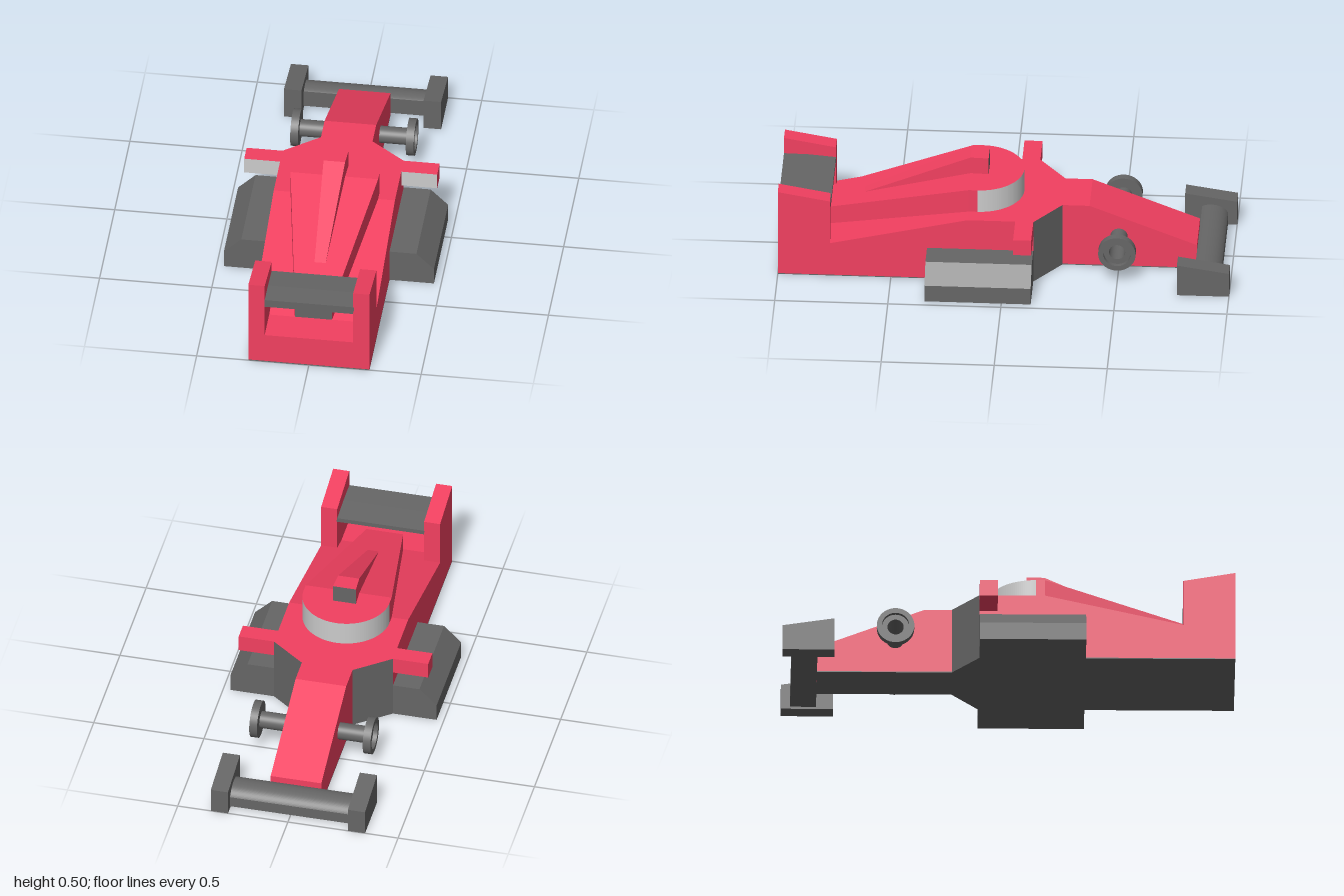
import * as THREE from 'three';

const mat = (color) => new THREE.MeshStandardMaterial({ color, side: THREE.DoubleSide });
const red = mat(0xf24060), dark = mat(0x666666), pale = mat(0xcccccc);

const shapeOf = (pts) => new THREE.Shape(pts.map(([a, b]) => new THREE.Vector2(a, b)));

// Side profile in (z, y), extruded across x from x0 to x1
function sideExtrude(shape, x0, x1) {
  const g = new THREE.ExtrudeGeometry(shape, { depth: x1 - x0, bevelEnabled: false, curveSegments: 24 });
  return g.rotateY(-Math.PI / 2).translate(x1, 0, 0);
}

// Plan outline in (x, z), extruded from y0 up to y1
function planExtrude(shape, y0, y1) {
  const g = new THREE.ExtrudeGeometry(shape, { depth: y1 - y0, bevelEnabled: false, curveSegments: 32 });
  return g.rotateX(Math.PI / 2).translate(0, y1, 0);
}

// Block between two rectangular sections { z, w: half width, b: bottom, t: top }
function taperBlock(s0, s1) {
  const g = new THREE.BoxGeometry(2, 1, 1);
  const p = g.attributes.position;
  for (let i = 0; i < p.count; i++) {
    const s = p.getZ(i) < 0 ? s0 : s1;
    p.setXYZ(i, p.getX(i) * s.w, p.getY(i) < 0 ? s.b : s.t, s.z);
  }
  g.computeVertexNormals();
  return g;
}

export function createModel() {
  const car = new THREE.Group();
  car.name = 'racingCar';
  const add = (name, geometry, material) => {
    const m = new THREE.Mesh(geometry, material);
    m.name = name;
    car.add(m);
    return m;
  };
  const F = 0.004; // floor plate thickness

  // Floor plate
  add('floor', planExtrude(shapeOf([
    [0.27, 1], [0.27, -0.13], [0.115, -0.25], [0.115, -0.845],
    [-0.115, -0.845], [-0.115, -0.25], [-0.27, -0.13], [-0.27, 1],
  ]), 0, F), dark);

  // Main body
  add('mainBody', sideExtrude(shapeOf([
    [1, F], [1, 0.147], [0.85, 0.147], [0.16, 0.305], [-0.13, 0.305], [-0.13, F],
  ]), -0.27, 0.27), red);

  // Shoulders narrowing to the nose, with dark side panels
  add('shoulders', planExtrude(shapeOf([
    [0.27, -0.13], [0.115, -0.25], [-0.115, -0.25], [-0.27, -0.13],
  ]), F, 0.305), [red, dark]);

  // Nose, bored through for the axle
  const nose = shapeOf([
    [-0.25, F], [-0.25, 0.305], [-0.37, 0.305], [-0.845, 0.12], [-0.845, F],
  ]);
  nose.holes.push(new THREE.Path().absarc(-0.5, 0.155, 0.037, 0, Math.PI * 2, true));
  add('nose', sideExtrude(nose, -0.115, 0.115), red);

  // Engine cover
  const mid = { z: 0.16, w: 0.195, b: 0.29, t: 0.415 };
  add('coverShoulder', taperBlock({ ...mid, z: 0.12 }, mid), red);
  add('engineCover', taperBlock(mid, { z: 0.85, w: 0.083, b: 0.14, t: 0.23 }),
    [red, red, red, red, dark, red]);

  // Rounded windscreen at the front of the cover
  const screen = new THREE.Shape().absarc(0, 0.12, 0.195, Math.PI, Math.PI * 2, false);
  add('windscreen', planExtrude(screen, 0.3, 0.415), [red, pale]);

  // Air intake and the fin behind it
  const intake = { z: 0.16, w: 0.048, b: 0.4, t: 0.495 };
  add('airIntake', taperBlock({ ...intake, z: 0.08, w: 0.052 }, intake),
    [red, red, red, red, red, dark]);
  add('fin', taperBlock(intake, { z: 0.63, w: 0.025, b: 0.27, t: 0.289 }), red);

  // Rear wing
  add('rearWing', sideExtrude(shapeOf([
    [1, 0.305], [1, 0.342], [0.89, 0.34], [0.77, 0.33], [0.77, 0.31],
  ]), -0.2, 0.2), dark);

  // Front wing with a curved upper surface
  const foil = shapeOf([[-0.845, 0.01], [-0.845, 0.09]]);
  foil.bezierCurveTo(-0.88, 0.108, -0.94, 0.1, -0.96, 0.06);
  foil.lineTo(-0.96, 0.01);
  add('frontWing', sideExtrude(foil, -0.275, 0.275), dark);

  // Wheel with a recessed disc, joined to a hollow axle
  const wheelProfile = [
    [0.036, 0.1], [0.036, 0.255], [0.06, 0.255], [0.06, 0.275], [0.083, 0.275],
    [0.083, 0.24], [0.038, 0.24], [0.038, 0.1],
  ];

  for (const s of [1, -1]) {
    const side = s > 0 ? 'left' : 'right';
    const span = (a, b) => (s > 0 ? [a, b] : [-b, -a]);

    add(side + 'RearEndplate', sideExtrude(shapeOf([
      [1, 0.147], [1, 0.42], [0.77, 0.38], [0.77, 0.14],
    ]), ...span(0.197, 0.27)), red);

    add(side + 'FrontEndplate', sideExtrude(shapeOf([
      [-0.77, 0], [-0.77, 0.152], [-1, 0.117], [-1, 0],
    ]), ...span(0.272, 0.35)), dark);

    const pod = shapeOf([
      [0.26, 0], [0.468, 0], [0.468, 0.08], [0.39, 0.157], [0.26, 0.157],
    ].map(([x, y]) => [s * x, y]));
    const podGeo = new THREE.ExtrudeGeometry(pod, { depth: 0.47, bevelEnabled: false });
    add(side + 'Sidepod', podGeo.translate(0, 0, -0.13), dark);

    // Mirror arm with a pale reflecting face
    const arm = new THREE.BoxGeometry(0.17, 0.076, 0.08).translate(s * 0.345, 0.267, -0.09);
    add(side + 'Mirror', arm, [red, red, red, red, pale, red]);

    // Each lathe edge is its own band, so the corners stay sharp
    const wheel = new THREE.Group();
    wheel.name = side + 'Wheel';
    for (let i = 0; i < wheelProfile.length - 1; i++) {
      const edge = [wheelProfile[i], wheelProfile[i + 1]].map(([r, h]) => new THREE.Vector2(r, h));
      const band = new THREE.Mesh(new THREE.LatheGeometry(edge, 40), dark);
      band.name = 'wheelBand';
      wheel.add(band);
    }
    wheel.rotation.z = -s * Math.PI / 2;
    wheel.position.set(0, 0.155, -0.5);
    car.add(wheel);
  }
  return car;
}
